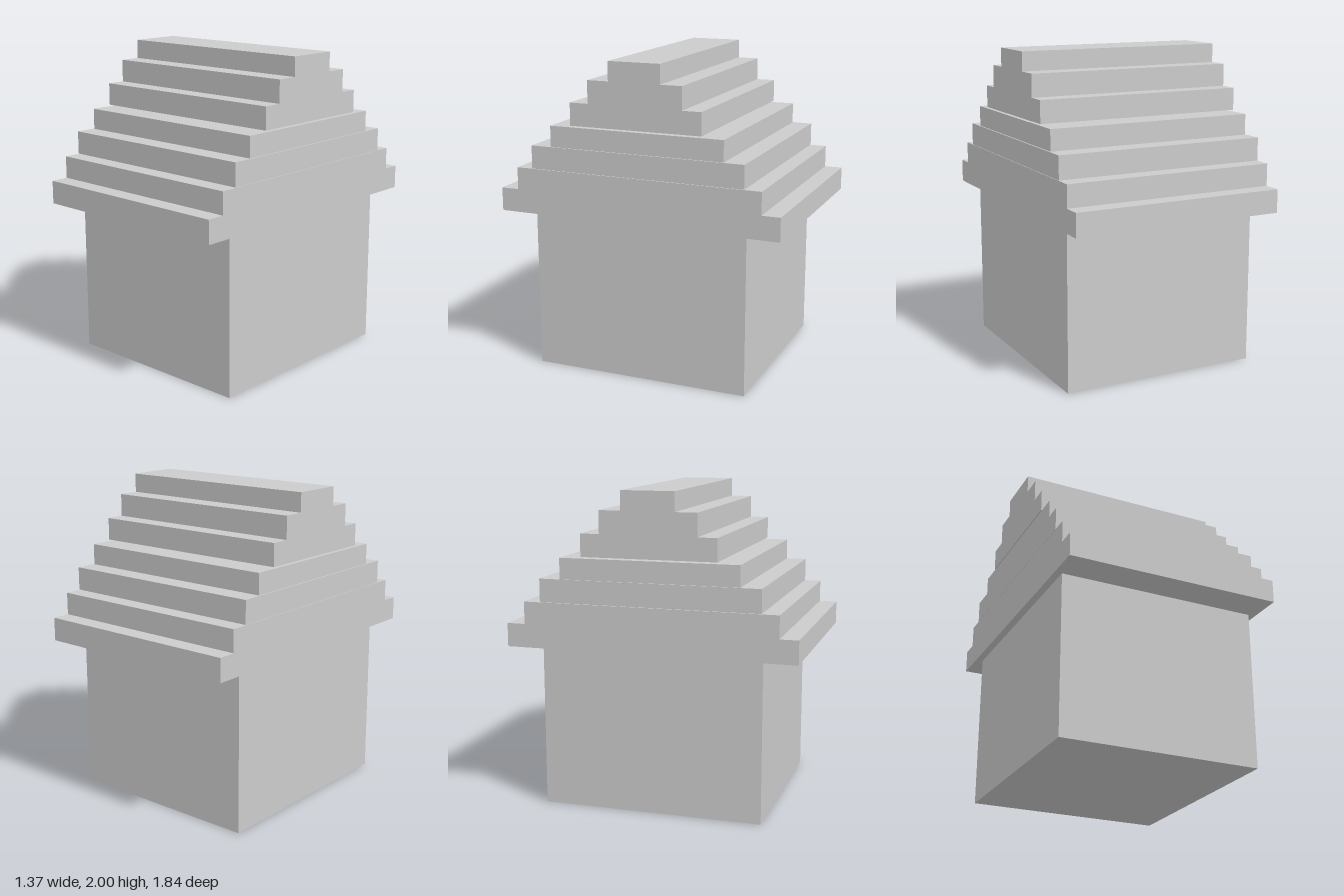
import * as THREE from 'three';

const material = new THREE.MeshStandardMaterial({ color: 0xcccccc, flatShading: true });

// Box spanning y0..y1, centred on x and z
function block(name, halfX, halfZ, y0, y1) {
  const mesh = new THREE.Mesh(new THREE.BoxGeometry(2 * halfX, y1 - y0, 2 * halfZ), material);
  mesh.name = name;
  mesh.position.y = (y0 + y1) / 2;
  return mesh;
}

// Symmetric stepped gable extruded along x; steps are [halfZ, topY] from the bottom up
function steppedGable(name, halfX, y0, steps) {
  const right = [];
  let y = y0;
  for (const [halfZ, top] of steps) {
    right.push([halfZ, y], [halfZ, top]);
    y = top;
  }
  const left = right.map(([z, h]) => [-z, h]).reverse();
  const shape = new THREE.Shape([...right, ...left].map(([z, h]) => new THREE.Vector2(z, h)));
  const geometry = new THREE.ExtrudeGeometry(shape, { depth: 2 * halfX, bevelEnabled: false });
  geometry.translate(0, 0, -halfX).rotateY(Math.PI / 2);
  const mesh = new THREE.Mesh(geometry, material);
  mesh.name = name;
  return mesh;
}

export function createModel() {
  const house = new THREE.Group();
  house.name = 'house';

  // Plain square walls
  house.add(block('walls', 0.64, 0.7, 0, 1.015));

  // Stepped roof in three layers, with a hairline joint under the top one
  const roof = new THREE.Group();
  roof.name = 'roof';
  roof.add(
    steppedGable('eaves', 0.686, 1.015, [[0.92, 1.163], [0.804, 1.304]]),
    block('lowerRoofStep', 0.686, 0.697, 1.306, 1.452),
    block('middleRoofStep', 0.677, 0.566, 1.452, 1.584),
    steppedGable('ridge', 0.677, 1.594, [[0.427, 1.736], [0.306, 1.879], [0.168, 2]]),
  );
  house.add(roof);
  return house;
}
